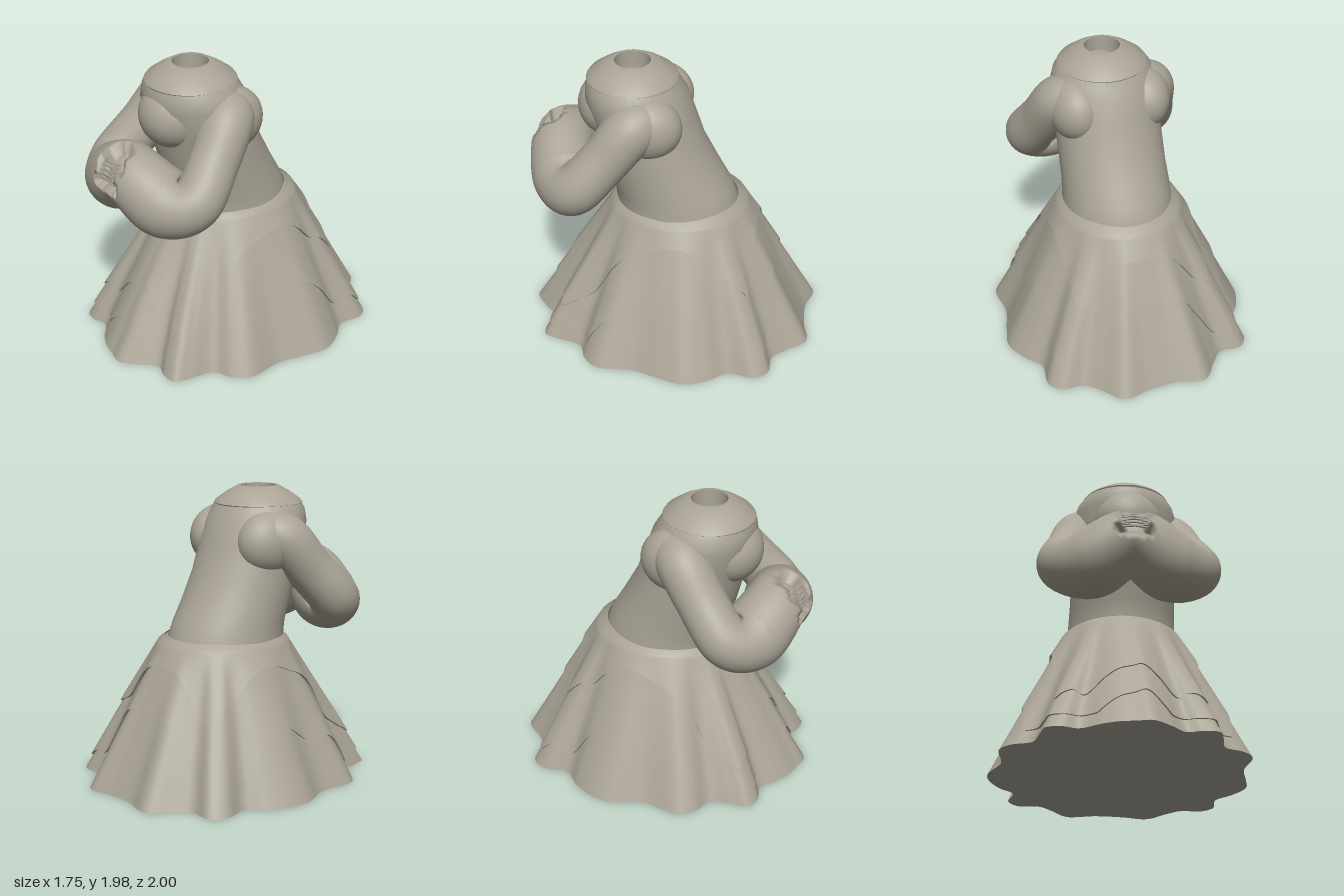
import * as THREE from 'three';
import { mergeVertices, toCreasedNormals } from 'three/addons/utils/BufferGeometryUtils.js';

const V = (x, y, z) => new THREE.Vector3(x, y, z);

// Surface from rings: point(u, row) with u in 0..1 running front -> left -> back, rows going up
function loft(point, nu, rows, capBottom = false) {
  const pos = [], idx = [];
  for (let j = 0; j < rows; j++)
    for (let i = 0; i < nu; i++) pos.push(...point(i / nu, j).toArray());
  for (let j = 0; j < rows - 1; j++)
    for (let i = 0; i < nu; i++) {
      const a = j * nu + i, b = j * nu + (i + 1) % nu;
      idx.push(a, b, a + nu, b, b + nu, a + nu);
    }
  if (capBottom) {
    const start = pos.length / 3;
    for (let i = 0; i < nu; i++) pos.push(...point(i / nu, 0).toArray());
    pos.push(0, 0, 0);
    for (let i = 0; i < nu; i++) idx.push(start + (i + 1) % nu, start + i, start + nu);
  }
  const g = new THREE.BufferGeometry();
  g.setAttribute('position', new THREE.Float32BufferAttribute(pos, 3));
  g.setIndex(idx);
  g.computeVertexNormals();
  return g;
}

// Wavy hem of the skirt on the ground, as x, z pairs
const HEM = [
  0, .97, .1, .99, .21, .91, .32, .81, .42, .84, .52, .83, .56, .72, .6, .56, .72, .5, .8, .4,
  .79, .15, .84, -.05, .87, -.22, .8, -.38, .71, -.5, .72, -.69, .65, -.77, .5, -.78, .41, -.86,
  .28, -1, .1, -.97, -.1, -.96, -.3, -1, -.42, -.86, -.51, -.77, -.66, -.77, -.73, -.67,
  -.7, -.49, -.8, -.37, -.87, -.2, -.87, -.07, -.79, .13, -.8, .4, -.73, .49, -.6, .55,
  -.56, .7, -.53, .81, -.44, .84, -.33, .81, -.2, .9, -.1, .95,
];
const hemPoints = [];
for (let i = 0; i < HEM.length; i += 2) hemPoints.push(V(HEM[i], 0, HEM[i + 1]));
const hemCurve = new THREE.CatmullRomCurve3(hemPoints, true);

const WAIST_Y = 0.95, WAIST_Z = -0.055;
const hemAt = (u) => hemCurve.getPoint(u);
function waistAt(u) {
  const p = hemAt(u), a = Math.atan2(p.x, p.z - WAIST_Z);
  return V(0.41 * Math.sin(a), WAIST_Y, WAIST_Z + 0.455 * Math.cos(a));
}
function skirtPoint(u, s, offset) {
  const p = hemAt(u).lerp(waistAt(u), s);
  const out = V(p.x, 0, p.z - WAIST_Z).normalize();
  return p.addScaledVector(out, offset);
}

function skirtGeometry() {
  const rows = 22;
  return loft((u, j) => {
    if (j < rows - 1) return skirtPoint(u, j / (rows - 2), 0);
    return skirtPoint(u, 1, -0.06).setY(WAIST_Y + 0.04);
  }, 320, rows, true);
}

// Square cloth draped over the skirt; its hem is where the skirt meets the square
function clothGeometry(halfX, back, front, offset) {
  const rows = 18;
  return loft((u, j) => {
    const b = hemAt(u), w = waistAt(u);
    let s = 0.1;
    if (Math.abs(b.x) > halfX) s = Math.max(s, (Math.abs(b.x) - halfX) / (Math.abs(b.x) - Math.abs(w.x)));
    if (b.z < back) s = Math.max(s, (b.z - back) / (b.z - w.z));
    if (b.z > front) s = Math.max(s, (b.z - front) / (b.z - w.z));
    s = Math.min(s, 0.95);
    if (j === 0) return skirtPoint(u, s, -0.005);
    if (j === rows - 1) return skirtPoint(u, 1, -0.03).setY(WAIST_Y + 0.03);
    const t = (j - 1) / (rows - 3);
    return skirtPoint(u, s + (1 - s) * t, offset * (1 - 0.6 * t));
  }, 320, rows);
}

// Bodice rings: y, back z, front z, half width
const BODICE = [
  [.90, -.46, .37, .38], [.99, -.44, .39, .37], [1.08, -.4, .4, .365], [1.2, -.33, .45, .36],
  [1.4, -.22, .5, .36], [1.6, -.15, .55, .36], [1.74, -.1, .59, .36], [1.82, -.05, .58, .335],
  [1.87, -.025, .565, .3],
];
function bodiceGeometry() {
  return loft((u, j) => {
    const [y, back, front, rx] = BODICE[j], a = u * Math.PI * 2;
    return V(rx * Math.sin(a), y, (back + front) / 2 + (front - back) / 2 * Math.cos(a));
  }, 64, BODICE.length);
}

// Both sleeves as one sweep, from shoulder to clasped hands to shoulder: x, y, z, radius
const ARM = [
  [.2, 1.67, .12, .16], [.31, 1.64, .22, .175], [.385, 1.44, .38, .165],
  [.435, 1.23, .57, .175], [.26, 1.19, .68, .23],
];
function sleevesGeometry() {
  const keys = [...ARM, [0, 1.32, .76, .21], ...ARM.map(([x, y, z, r]) => [-x, y, z, r]).reverse()];
  const path = new THREE.CatmullRomCurve3(keys.map(([x, y, z]) => V(x, y, z)), false, 'catmullrom', 0.5);
  const radii = new THREE.CatmullRomCurve3(keys.map((k) => V(k[3], 0, 0)), false, 'catmullrom', 0.5);
  const segs = 220, sides = 48;
  const tube = new THREE.TubeGeometry(path, segs, 1, sides, false);
  const pos = tube.attributes.position, nor = tube.attributes.normal;
  for (let i = 0; i < pos.count; i++) {
    const n = V().fromBufferAttribute(nor, i);
    const p = V().fromBufferAttribute(pos, i).sub(n);
    const u = Math.floor(i / (sides + 1)) / segs;
    let r = radii.getPoint(path.getUtoTmapping(u)).x;
    // ragged opening where the cuffs meet
    const q = p.clone().addScaledVector(n, r);
    const edge = 0.1 + 0.018 * Math.sin(q.y * 45);
    if (Math.abs(q.x) < edge && q.z > 0.77 && q.y > 1.27) r -= 0.07;
    p.addScaledVector(n, r);
    pos.setXYZ(i, p.x, p.y, p.z);
  }
  tube.deleteAttribute('uv');
  tube.deleteAttribute('normal');
  const g = mergeVertices(tube, 1e-4);
  g.computeVertexNormals();
  return g;
}

export function createModel() {
  const model = new THREE.Group();
  const clay = new THREE.MeshStandardMaterial({ color: 0xaaa496, side: THREE.DoubleSide });
  clay.name = 'warm grey clay';
  const add = (name, geometry, parent = model) => {
    const mesh = new THREE.Mesh(geometry, clay);
    mesh.name = name;
    parent.add(mesh);
    return mesh;
  };

  // Skirt and its two square overlays
  add('skirt', toCreasedNormals(skirtGeometry(), 0.9));
  add('lowerOverskirt', toCreasedNormals(clothGeometry(0.65, -0.72, 0.83, 0.016), 0.9));
  add('upperOverskirt', toCreasedNormals(clothGeometry(0.46, -0.57, 0.69, 0.028), 0.9));

  // Upper body
  add('bodice', bodiceGeometry());
  const chest = add('chest', new THREE.SphereGeometry(1, 40, 28));
  chest.scale.set(0.24, 0.23, 0.24);
  chest.position.set(0, 1.65, 0.4);

  // Shoulder collar with a socket for the neck
  const collar = [[.29, 1.84], [.305, 1.865], [.29, 1.885], [.22, 1.935], [.14, 1.98], [.12, 1.98], [.12, 1.86], [0, 1.86]];
  const collarMesh = add('neckCollar', toCreasedNormals(
    new THREE.LatheGeometry(collar.map(([r, y]) => new THREE.Vector2(r, y)), 64), 0.6));
  collarMesh.position.z = 0.27;

  // Shoulders and joined sleeves
  for (const side of [1, -1]) {
    const shoulder = add(side > 0 ? 'leftShoulder' : 'rightShoulder', new THREE.SphereGeometry(1, 36, 24));
    shoulder.scale.set(0.18, 0.22, 0.24);
    shoulder.position.set(0.24 * side, 1.62, 0.14);
  }
  add('sleeves', sleevesGeometry());

  // Crossed lacing inside the cuff opening
  const lacing = new THREE.Group();
  lacing.name = 'cuffLacing';
  model.add(lacing);
  const onCuff = (x, a) => V(x, 1.32 + 0.185 * Math.sin(a), 0.76 + 0.185 * Math.cos(a));
  for (let i = 0; i < 5; i++)
    for (const side of [1, -1]) {
      const a = onCuff(-0.08 * side, 0.02 + i * 0.16), b = onCuff(0.08 * side, 0.14 + i * 0.16);
      const lace = add('lace', new THREE.CylinderGeometry(0.007, 0.007, a.distanceTo(b), 6), lacing);
      lace.position.copy(a).lerp(b, 0.5);
      lace.quaternion.setFromUnitVectors(V(0, 1, 0), b.clone().sub(a).normalize());
    }
  return model;
}
